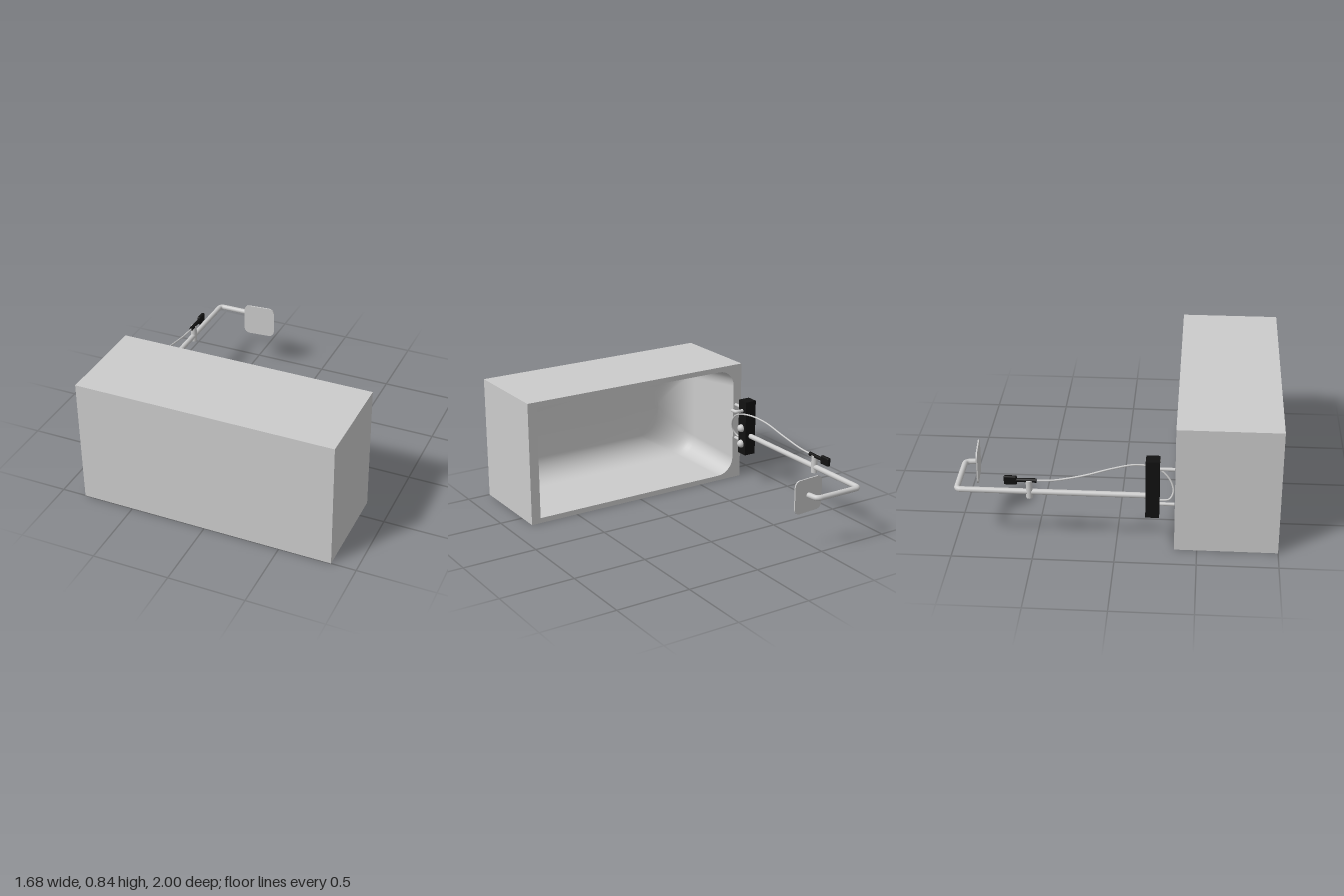
import * as THREE from 'three';
import { RoundedBoxGeometry } from 'three/addons/geometries/RoundedBoxGeometry.js';

const grey = new THREE.MeshStandardMaterial({ color: 0xcccccc });
const greyThin = new THREE.MeshStandardMaterial({ color: 0xcccccc, side: THREE.DoubleSide });
const black = new THREE.MeshStandardMaterial({ color: 0x111111 });
const V = (x, y, z) => new THREE.Vector3(x, y, z);

const CY = 0.42, BACK = 0.36, HALF = 0.385, END = 0.775;

// One section of the basin: square at the +x end, rounded at the -x end
function basinRing(inset, depth, flatten = 1) {
  const h = HALF - inset, r = 0.12 + inset * 0.3;
  const x0 = -END + inset * 1.4, x1 = END - 0.035 * depth;
  const pts = [[x1, h]];
  for (const [sign, start] of [[1, 0.5], [-1, 1]]) {
    for (let i = 0; i <= 10; i++) {
      const a = Math.PI * (start + i / 20);
      pts.push([x0 + r + r * Math.cos(a), sign * (h - r) + r * Math.sin(a)]);
    }
  }
  pts.push([x1, -h]);
  return pts.map(([x, y]) => V(x, CY + y * flatten, BACK + depth));
}

// Surface through rows of points
function loft(rows) {
  const n = rows[0].length, index = [];
  for (let j = 0; j < rows.length - 1; j++) {
    for (let i = 0; i < n - 1; i++) {
      const a = j * n + i, b = a + n;
      index.push(a, a + 1, b, a + 1, b + 1, b);
    }
  }
  const geo = new THREE.BufferGeometry().setFromPoints(rows.flat());
  geo.setIndex(index);
  geo.computeVertexNormals();
  return geo;
}

// Straight runs joined by rounded elbows
function pipe(points, radius, bend = 0.03) {
  const path = new THREE.CurvePath();
  let from = points[0];
  for (let i = 1; i < points.length - 1; i++) {
    const p = points[i];
    const a = p.clone().add(points[i - 1].clone().sub(p).setLength(bend));
    const b = p.clone().add(points[i + 1].clone().sub(p).setLength(bend));
    path.add(new THREE.LineCurve3(from, a));
    path.add(new THREE.QuadraticBezierCurve3(a, p, b));
    from = b;
  }
  path.add(new THREE.LineCurve3(from, points[points.length - 1]));
  return new THREE.TubeGeometry(path, points.length > 2 ? 160 : 1, radius, 16);
}

export function createModel() {
  const model = new THREE.Group();
  const add = (name, geo, mat = grey, x = 0, y = 0, z = 0, parent = model) => {
    const mesh = new THREE.Mesh(geo, mat);
    mesh.name = name;
    mesh.position.set(x, y, z);
    parent.add(mesh);
    return mesh;
  };

  // Bathtub lying on its side, open towards -z
  const tub = new THREE.Group();
  tub.name = 'bathtub';
  model.add(tub);

  const shell = new THREE.BoxGeometry(1.68, 0.84, 0.64);
  shell.setIndex(Array.from(shell.index.array).slice(0, 30)); // leave out the -z face
  add('tubShell', shell, grey, 0, CY, 0.68, tub);

  const rim = new THREE.Shape([[-0.84, 0], [0.84, 0], [0.84, 0.84], [-0.84, 0.84]]
    .map(([x, y]) => new THREE.Vector2(x, y)));
  rim.holes.push(new THREE.Path(basinRing(0, 0).map(p => new THREE.Vector2(p.x, p.y))));
  add('tubRim', new THREE.ShapeGeometry(rim), greyThin, 0, 0, BACK, tub);

  // Basin: tapered walls, a wide fillet, then the flat floor
  const rings = [basinRing(0, 0), basinRing(0.015, 0.2)];
  for (let i = 0; i <= 10; i++) {
    const a = (i / 10) * Math.PI / 2;
    rings.push(basinRing(0.03 + 0.16 * (1 - Math.cos(a)), 0.41 + 0.16 * Math.sin(a)));
  }
  rings.push(basinRing(0.19, 0.57, 0));
  add('tubBasin', loft(rings), greyThin, 0, 0, 0, tub);
  const endRows = rings.map(r => [r[r.length - 1], r[0]]);
  add('basinEndWall', loft(endRows), greyThin, 0, 0, 0, tub);

  // Mixer block with inlets, knobs and spout
  const mixer = new THREE.Group();
  mixer.name = 'mixer';
  model.add(mixer);
  add('mixerBody', new THREE.BoxGeometry(0.083, 0.39, 0.084), black, -0.797, 0.42, 0.223, mixer);
  for (const y of [0.30, 0.545]) {
    const inlet = add('inletPipe', new THREE.CylinderGeometry(0.011, 0.011, 0.11, 16), grey, -0.795, y, 0.302, mixer);
    inlet.rotation.x = Math.PI / 2;
  }
  for (const y of [0.30, 0.415]) {
    add('knob', new THREE.SphereGeometry(0.028, 20, 14), grey, -0.753, y, 0.228, mixer);
  }
  add('spout', pipe([V(-0.76, 0.545, 0.222), V(-0.7, 0.545, 0.222), V(-0.7, 0.545, 0.268)], 0.012, 0.02), greyThin, 0, 0, 0, mixer);

  // Riser pipe, arm and overhead shower plate
  add('showerPipe', pipe([
    V(-0.8, 0.36, 0.2), V(-0.8, 0.36, -0.981), V(-0.465, 0.36, -0.981), V(-0.455, 0.36, -0.9),
  ], 0.018), greyThin);

  const s = 0.112, c = 0.04;
  const plate = new THREE.Shape();
  plate.moveTo(s - c, -s);
  plate.absarc(s - c, c - s, c, -Math.PI / 2, 0);
  plate.absarc(s - c, s - c, c, 0, Math.PI / 2);
  plate.absarc(c - s, s - c, c, Math.PI / 2, Math.PI);
  plate.absarc(c - s, c - s, c, Math.PI, Math.PI * 1.5);
  const head = add('overheadShower', new THREE.ExtrudeGeometry(plate, { depth: 0.009, bevelEnabled: false }), grey, -0.455, 0.36, -0.905);
  head.rotation.y = 0.08;

  // Hand shower in its bracket
  add('handShowerBracket', new THREE.CylinderGeometry(0.021, 0.021, 0.12, 20), grey, -0.8, 0.38, -0.53);
  const handle = add('handShowerHandle', new THREE.CylinderGeometry(0.012, 0.014, 0.13, 16), black, -0.797, 0.437, -0.55);
  handle.rotation.x = -Math.PI / 2;
  add('handShowerHead', new RoundedBoxGeometry(0.024, 0.058, 0.08, 2, 0.008), black, -0.797, 0.436, -0.645);

  // Flexible hose from the hand shower to the mixer
  const hose = new THREE.CatmullRomCurve3([
    V(-0.797, 0.437, -0.48), V(-0.797, 0.443, -0.38), V(-0.79, 0.478, -0.2), V(-0.772, 0.525, -0.02),
    V(-0.745, 0.54, 0.12), V(-0.732, 0.512, 0.25), V(-0.745, 0.445, 0.325), V(-0.765, 0.375, 0.348),
    V(-0.785, 0.33, 0.325), V(-0.795, 0.325, 0.26),
  ]);
  add('hose', new THREE.TubeGeometry(hose, 100, 0.006, 10), greyThin);

  return model;
}
